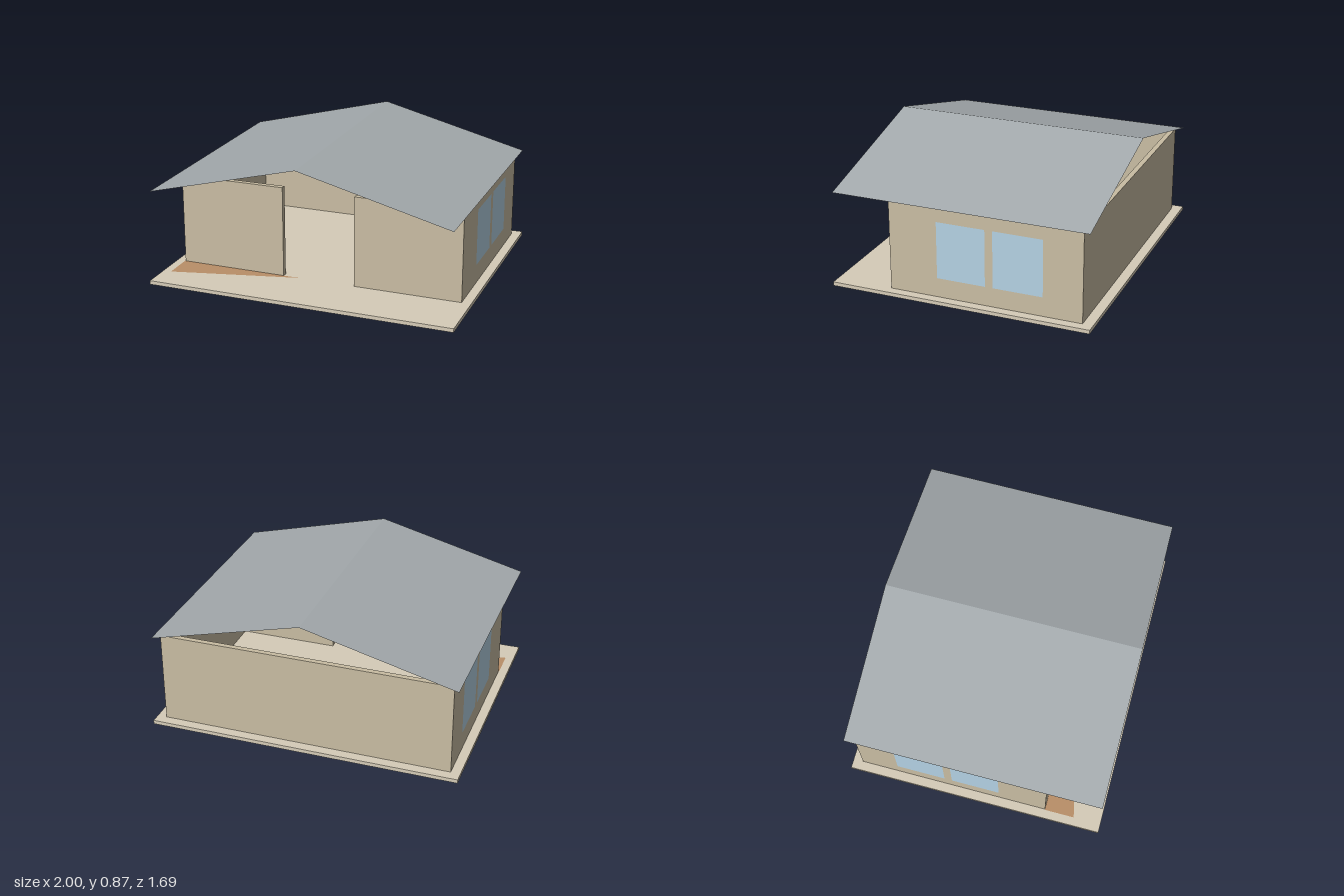
import * as THREE from 'three';

const paint = (color, side = THREE.FrontSide) => new THREE.MeshStandardMaterial({ color, side });

export function createModel() {
  const model = new THREE.Group();
  model.name = 'house';

  const slabMat = paint(0xd6ccb8);
  const wallMat = paint(0xc9bda3);
  const roofMat = paint(0xa3a9ac, THREE.DoubleSide);
  const glassMat = paint(0xb4d2e4, THREE.DoubleSide);
  const deckMat = paint(0xb98f68, THREE.DoubleSide);

  // Box given by its low and high corners
  function block(name, mat, [x0, y0, z0], [x1, y1, z1]) {
    const mesh = new THREE.Mesh(new THREE.BoxGeometry(x1 - x0, y1 - y0, z1 - z0), mat);
    mesh.position.set((x0 + x1) / 2, (y0 + y1) / 2, (z0 + z1) / 2);
    mesh.name = name;
    model.add(mesh);
  }

  const floorY = 0.025, wallTop = 0.62, ridgeY = 0.87;
  const wallX = 0.94, backZ = -0.78, frontZ = 0.47, thick = 0.035, doorX = 0.24;
  const eaveX = 0.98, roofZ = 0.83;

  // Ground slab and back wall
  block('floorSlab', slabMat, [-1, 0, -0.845], [1, floorY, 0.845]);
  block('backWall', wallMat, [-wallX, floorY, backZ], [wallX, wallTop, backZ + thick]);

  for (const side of [-1, 1]) {
    const label = side > 0 ? 'left' : 'right';
    const span = (a, b) => [Math.min(side * a, side * b), Math.max(side * a, side * b)];

    // Side wall
    const [s0, s1] = span(wallX - thick, wallX);
    block(label + 'SideWall', wallMat, [s0, floorY, backZ + thick], [s1, wallTop, frontZ - thick]);

    // Front wall beside the wide entrance opening
    const [f0, f1] = span(doorX, wallX);
    block(label + 'FrontWall', wallMat, [f0, floorY, frontZ - thick], [f1, wallTop, frontZ]);

    // Pair of flush window panes
    for (const [z0, z1] of [[-0.53, -0.21], [-0.16, 0.155]]) {
      const pane = new THREE.Mesh(new THREE.PlaneGeometry(z1 - z0, 0.37), glassMat);
      pane.rotation.y = side * Math.PI / 2;
      pane.position.set(side * (wallX + 0.001), 0.335, (z0 + z1) / 2);
      pane.name = label + 'WindowPane';
      model.add(pane);
    }

    // Thin roof slope from ridge to eave
    const rise = ridgeY - wallTop;
    const slope = new THREE.Mesh(
      new THREE.PlaneGeometry(Math.hypot(eaveX, rise), roofZ * 2).rotateX(-Math.PI / 2), roofMat);
    slope.rotation.z = -side * Math.atan2(rise, eaveX);
    slope.position.set(side * eaveX / 2, (ridgeY + wallTop) / 2, 0);
    slope.name = label + 'RoofSlope';
    model.add(slope);
  }

  // Flush timber patch on the porch floor
  const patch = new THREE.Shape([[-0.945, -0.666], [-0.13, -frontZ], [-0.945, -frontZ]]
    .map(([x, y]) => new THREE.Vector2(x, y)));
  const deck = new THREE.Mesh(new THREE.ShapeGeometry(patch).rotateX(-Math.PI / 2), deckMat);
  deck.position.y = floorY + 0.001;
  deck.name = 'porchDeck';
  model.add(deck);

  return model;
}
